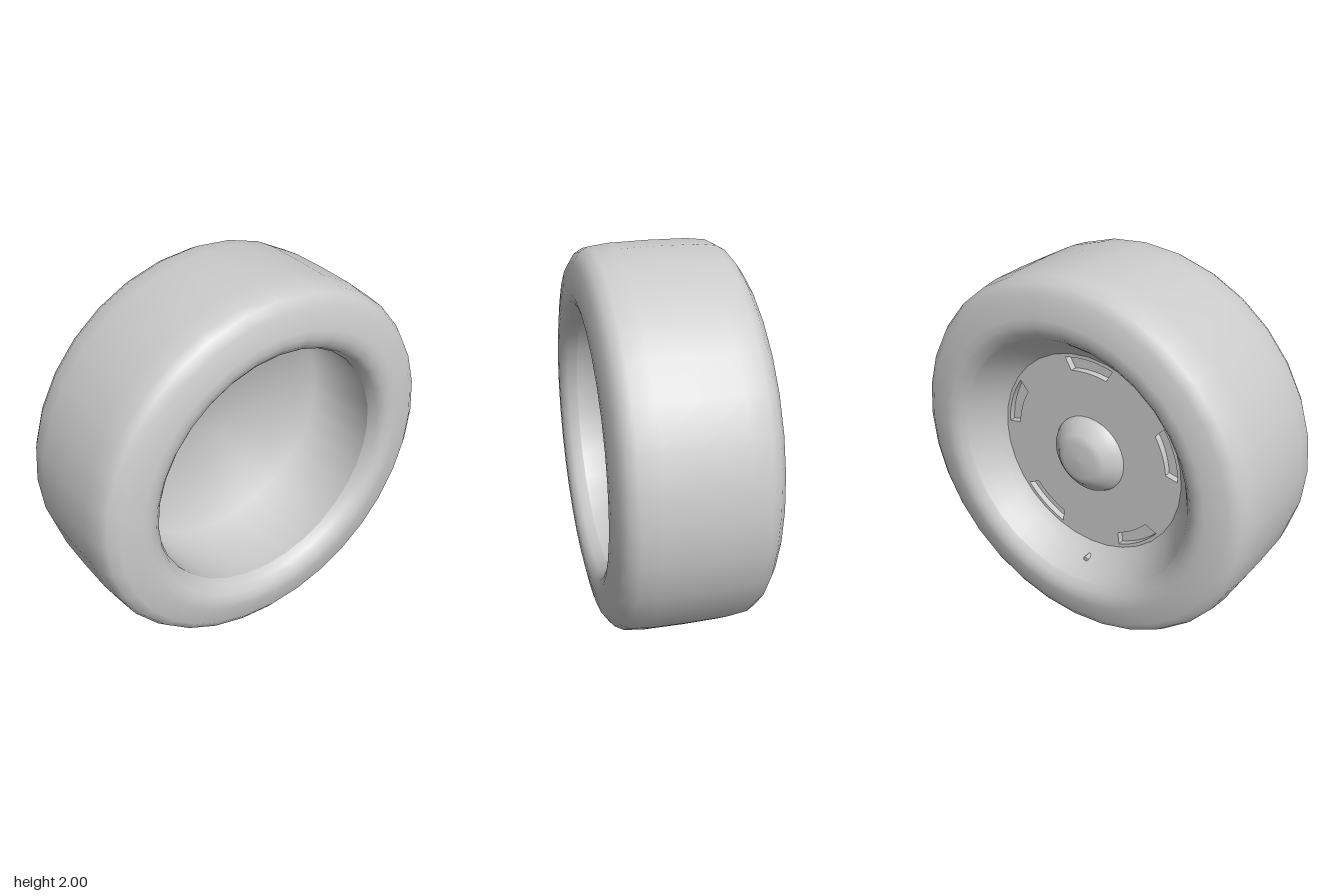
import * as THREE from 'three';

const material = new THREE.MeshStandardMaterial({ color: 0xcccccc });
const SEGMENTS = 32;

export function createModel() {
  const wheel = new THREE.Group();
  wheel.name = 'wheel';

  function add(name, geometry, parent = wheel) {
    const mesh = new THREE.Mesh(geometry, material);
    mesh.name = name;
    parent.add(mesh);
    return mesh;
  }

  // Revolve [radius, x] pairs around the axle (the x axis)
  function turned(name, profile) {
    const points = profile.map(([r, x]) => new THREE.Vector2(r, x));
    const geometry = new THREE.LatheGeometry(points, SEGMENTS);
    geometry.rotateZ(-Math.PI / 2);
    return add(name, geometry);
  }

  // Tyre: crowned tread, rounded shoulders, sidewalls rolling into the rim
  const half = [
    [1, 0], [0.997, 0.2], [0.985, 0.3], [0.96, 0.345], [0.91, 0.38],
    [0.8, 0.4], [0.76, 0.4], [0.72, 0.388], [0.69, 0.36], [0.67, 0.31],
  ];
  const mirrored = half.slice(1, -1).reverse().map(([r, x]) => [r, -x]);
  turned('tyre', [...mirrored, ...half]);

  // Deep smooth dish on the open side
  turned('innerDish', [[0.67, 0.31], [0.67, -0.13], [0, -0.145]]);

  // Conical rim on the hub side
  turned('outerRim', [[0.55, -0.19], [0.6, -0.235], [0.66, -0.32], [0.69, -0.36]]);

  // Floor seen through the hub plate slots
  turned('slotFloor', [[0, -0.155], [0.56, -0.155]]);

  // Hub plate with five curved slots near its edge
  const plate = new THREE.Shape();
  plate.absarc(0, 0, 0.553, 0, Math.PI * 2, false);
  for (let i = 0; i < 5; i++) {
    const mid = Math.PI / 2 + (i * Math.PI * 2) / 5;
    const slot = new THREE.Path();
    slot.absarc(0, 0, 0.53, mid - 0.27, mid + 0.27, false);
    slot.absarc(0, 0, 0.46, mid + 0.23, mid - 0.23, true);
    slot.closePath();
    plate.holes.push(slot);
  }
  const plateGeometry = new THREE.ExtrudeGeometry(plate, {
    depth: 0.04, bevelEnabled: false, curveSegments: 16,
  });
  plateGeometry.rotateY(-Math.PI / 2);
  add('hubPlate', plateGeometry).position.x = -0.15;

  // Raised centre cap
  turned('hubCap', [
    [0, -0.285], [0.1, -0.28], [0.14, -0.265], [0.17, -0.235], [0.2, -0.215], [0.215, -0.185],
  ]);

  // Small valve stub low on the rim
  const valve = add('valve', new THREE.CylinderGeometry(0.013, 0.013, 0.05, 8));
  valve.rotation.z = Math.PI / 2;
  valve.position.set(-0.255, -0.61, 0.03);

  wheel.position.y = 1;
  const model = new THREE.Group();
  model.name = 'wheelModel';
  model.add(wheel);
  return model;
}
